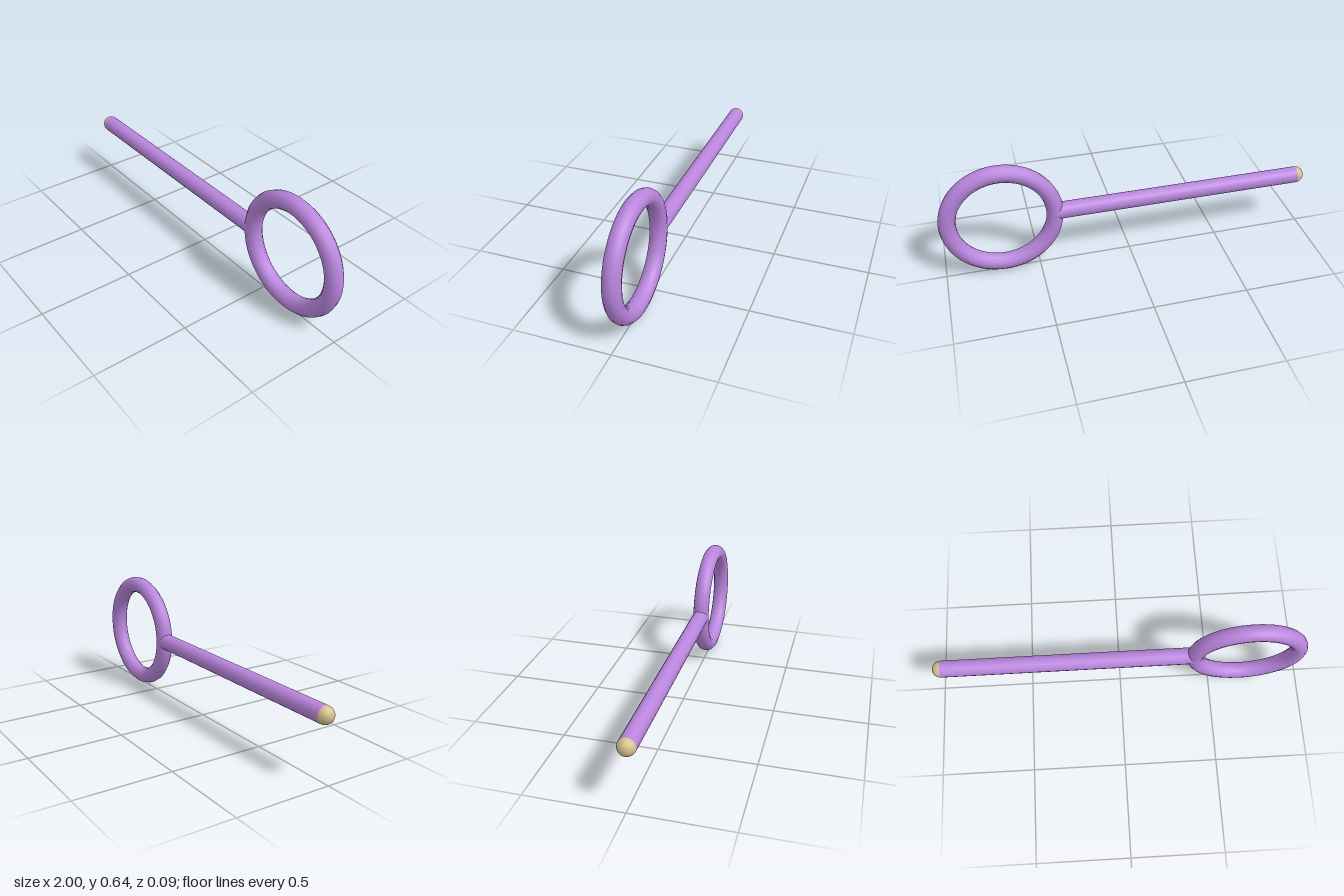
import * as THREE from 'three';

const TUBE = 0.045;   // thickness radius shared by all parts
const OUTER = 0.322;  // outer radius of the ring
const RING_X = 1 - OUTER;
const ROD_START = -1 + TUBE;
const ROD_END = RING_X - OUTER + TUBE;

export function createModel() {
  const group = new THREE.Group();
  group.name = 'bubbleWand';

  const purple = new THREE.MeshStandardMaterial({ color: 0xb985dd });
  purple.name = 'purple';
  const tan = new THREE.MeshStandardMaterial({ color: 0xd6c08c });
  tan.name = 'tan';

  const add = (name, geometry, material, x) => {
    const mesh = new THREE.Mesh(geometry, material);
    mesh.name = name;
    mesh.position.set(x, OUTER, 0);
    group.add(mesh);
  };

  // Open ring at the wand's head
  add('ring', new THREE.TorusGeometry(OUTER - TUBE, TUBE, 12, 64), purple, RING_X);

  // Straight handle running into the middle of the ring's tube
  const rod = new THREE.CylinderGeometry(TUBE, TUBE, ROD_END - ROD_START, 16);
  rod.rotateZ(Math.PI / 2);
  add('handle', rod, purple, (ROD_START + ROD_END) / 2);

  // Rounded tip closing the free end of the handle
  const tip = new THREE.SphereGeometry(TUBE, 16, 6, 0, Math.PI * 2, 0, Math.PI / 2);
  tip.rotateZ(Math.PI / 2);
  add('handleTip', tip, tan, ROD_START);

  return group;
}
